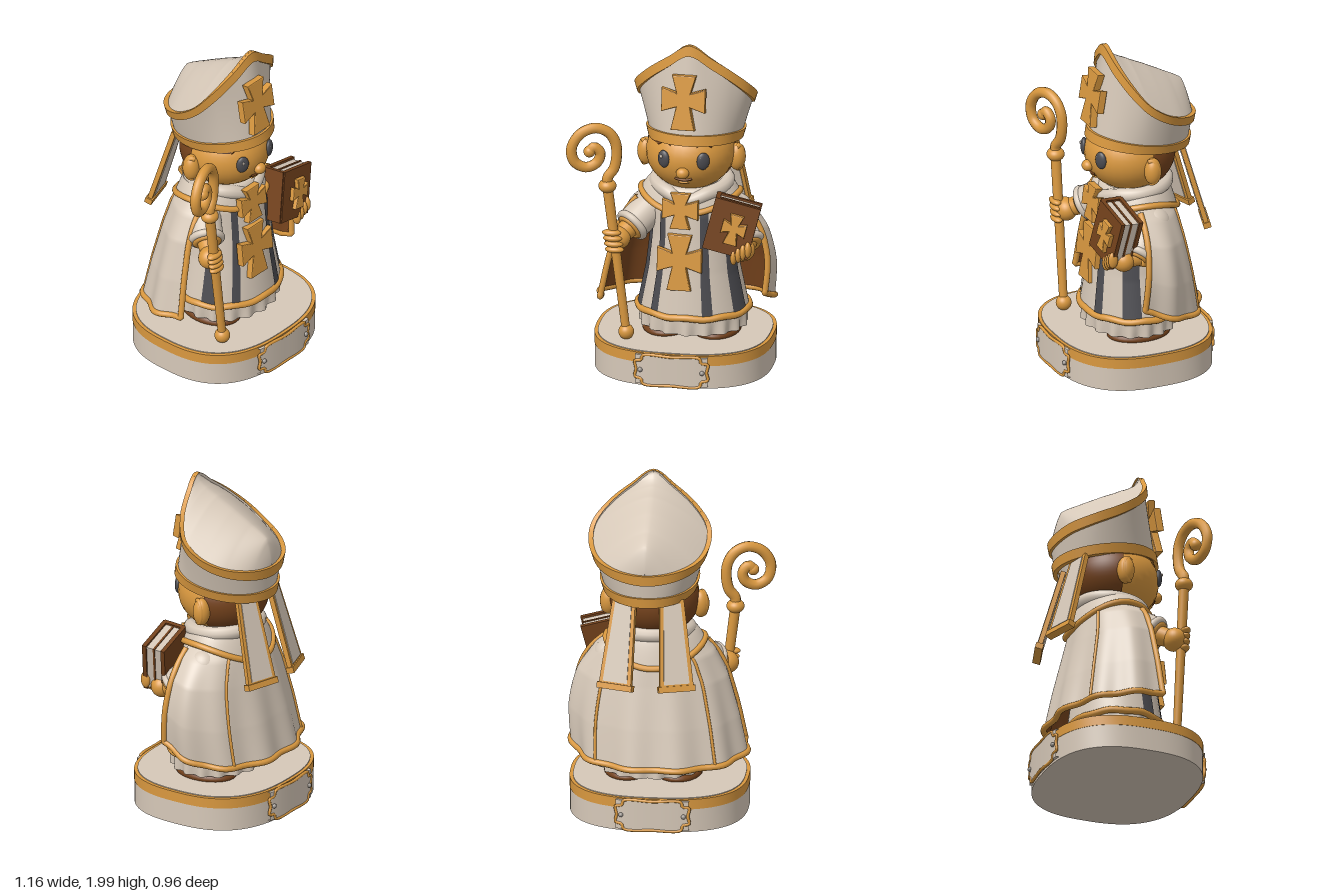
import * as THREE from 'three';
import { toCreasedNormals } from 'three/addons/utils/BufferGeometryUtils.js';
import { ParametricGeometry } from 'three/addons/geometries/ParametricGeometry.js';

const mat = (name, color) => {
  const m = new THREE.MeshStandardMaterial({ color, side: THREE.DoubleSide });
  m.name = name;
  return m;
};
const { sin, cos, PI, abs, pow, sign } = Math;
const V = (x, y, z) => new THREE.Vector3(x, y, z);

export function createModel() {
  const cream = mat('cream', 0xd6c8b8), gold = mat('gold', 0xd9983f), brown = mat('brown', 0x74421c),
    dark = mat('charcoal', 0x4b4b50), steel = mat('steel', 0x9c9690);
  const model = new THREE.Group();

  // --- helpers ---
  const add = (name, geo, m, pos = [0, 0, 0], parent = model) => {
    const mesh = new THREE.Mesh(geo, m);
    mesh.name = name;
    mesh.position.set(...pos);
    parent.add(mesh);
    return mesh;
  };
  const ball = (name, m, pos, r, parent) => {
    const b = add(name, new THREE.SphereGeometry(1, 32, 20), m, pos, parent);
    b.scale.set(...(Array.isArray(r) ? r : [r, r, r]));
    return b;
  };
  // surface over u, v ranges from a point function
  const patch = (name, m, fn, u0, u1, v0, v1, nu, nv) => add(name, new ParametricGeometry((u, v, t) =>
    t.copy(fn(u0 + (u1 - u0) * u, v0 + (v1 - v0) * v)), nu, nv), m);
  // raised band that wraps over its upper and lower edge
  const slab = (name, m, fn, u0, u1, h0, h1, thick, parent = model) => {
    const rows = [[h0, -0.012], [h0, thick], [h1, thick], [h1, -0.012]];
    const geo = new ParametricGeometry((u, v, t) => {
      const [h, off] = rows[Math.round(v * 3)];
      t.copy(fn(u0 + (u1 - u0) * u, h, off));
    }, 72, 3);
    return add(name, toCreasedNormals(geo, 0.7), m, [0, 0, 0], parent);
  };
  const tube = (name, m, pts, r, closed = false, parent = model) => add(name,
    new THREE.TubeGeometry(new THREE.CatmullRomCurve3(pts, closed), pts.length * 6, r, 10, closed), m, [0, 0, 0], parent);
  const along = (fn, a, b, n) => Array.from({ length: n + 1 }, (_, i) => fn(a + (b - a) * i / n));
  const limb = (name, m, a, b, ra, rb) => {
    const mesh = add(name, new THREE.CylinderGeometry(rb, ra, a.distanceTo(b), 28), m);
    mesh.position.copy(a).lerp(b, 0.5);
    mesh.quaternion.setFromUnitVectors(V(0, 1, 0), b.clone().sub(a).normalize());
    return mesh;
  };
  // smooth profile of [t, rx, rz] rows, sampled by t
  const sampler = rows => t => {
    let i = 0;
    while (i < rows.length - 2 && t > rows[i + 1][0]) i++;
    const k = (t - rows[i][0]) / (rows[i + 1][0] - rows[i][0]);
    return [1, 2].map(j => {
      const p = rows.map(r => r[j]), a = p[i], b = p[i + 1];
      return THREE.MathUtils.clamp(a + (b - a) * k, Math.min(a, b), Math.max(a, b));
    });
  };
  // flared cross
  const cross = (name, w, h, pos, tilt, parent = model) => {
    const n = w * 0.15, e = w * 0.26, c = h * 0.05;
    const s = new THREE.Shape([[-e, h / 2], [e, h / 2], [n, n + c], [w / 2, e + c], [w / 2, c - e], [n, c - n], [e, -h / 2],
      [-e, -h / 2], [-n, c - n], [-w / 2, c - e], [-w / 2, c + e], [-n, c + n]].map(p => new THREE.Vector2(...p)));
    const geo = new THREE.ExtrudeGeometry(s, { depth: 0.03, bevelSize: 0.006, bevelThickness: 0.008, bevelSegments: 2 });
    add(name, geo, gold, pos, parent).rotation.x = tilt;
  };

  // --- base ---
  const BX = 0.058, N = 2.6, RX = 0.512, RZ = 0.457;
  const layer = (name, m, k, y0, y1) => {
    const s = new THREE.Shape(along(a => new THREE.Vector2(k * RX * sign(cos(a)) * pow(abs(cos(a)), 2 / N),
      k * RZ * sign(sin(a)) * pow(abs(sin(a)), 2 / N)), 0, 2 * PI, 96).slice(0, 96));
    const geo = new THREE.ExtrudeGeometry(s, { depth: y1 - y0, bevelEnabled: false }).rotateX(-PI / 2);
    add(name, toCreasedNormals(geo, 0.6), m, [BX, y0, 0]);
  };
  layer('baseBody', cream, 1, 0, 0.14);
  layer('baseBand', gold, 1.004, 0.138, 0.198);
  layer('baseTop', cream, 0.965, 0.19, 0.203);
  for (const turn of [0, PI]) {
    const g = new THREE.Group();
    g.name = 'basePlaque';
    g.position.x = BX;
    g.rotation.y = turn;
    model.add(g);
    const rim = (x, y, off) => V(x, y, RZ * pow(1 - pow(abs(x / RX), N), 1 / N) + off);
    slab('plaque', cream, rim, -0.21, 0.21, 0.015, 0.19, 0.018, g);
    const half = [[-0.165, 0.188], [0, 0.19], [0.165, 0.188], [0.175, 0.16], [0.212, 0.15], [0.205, 0.1], [0.212, 0.055], [0.175, 0.045], [0.165, 0.016],
      [0, 0.014], [-0.165, 0.016], [-0.175, 0.045], [-0.212, 0.055], [-0.205, 0.1], [-0.212, 0.15], [-0.175, 0.16]];
    tube('plaqueFrame', gold, half.map(([x, y]) => rim(x, y, 0.016)), 0.009, true, g);
    for (const x of [-0.18, 0.18]) ball('bolt', steel, rim(x, 0.1, 0.02).toArray(), 0.014, g);
  }

  // --- shoes and robe ---
  for (const x of [-0.05, 0.24]) ball('shoe', brown, [x, 0.215, 0.0], [0.14, 0.055, 0.19]);
  const robeP = sampler([[0.24, 0.315, 0.27], [0.36, 0.318, 0.268], [0.6, 0.268, 0.238], [0.8, 0.245, 0.215], [0.95, 0.245, 0.2], [1.02, 0.22, 0.18], [1.1, 0.14, 0.14]]);
  const robe = (th, y, off = 0) => {
    const [rx, rz] = robeP(y);
    return V(0.105 + (rx + off) * sin(th), y, (rz + off) * cos(th));
  };
  patch('robe', cream, (th, y) => robe(th, y), -PI, PI, 0.34, 1.1, 64, 24);
  patch('pleatedHem', cream, (th, y) => robe(th, y, 0.012 * cos(17 * th) * (0.4 - y) / 0.15 - 0.012), -PI, PI, 0.245, 0.36, 160, 4);
  tube('robeTrim', gold, along(th => robe(th, 0.352 + 0.004 * cos(9 * th), 0.003), -PI, PI, 40).slice(0, 40), 0.02, true);
  for (const [a, b, top] of [[0.3, 0.5, 1.0], [0.95, 1.35, 0.95], [-0.72, -0.55, 1.0], [-1.35, -1.05, 0.95]])
    patch('robeStripe', dark, (th, y) => robe(th, y, 0.006), a, b, 0.368, top, 8, 20);
  cross('robeCross', 0.25, 0.32, [0.065, 0.68, 0.215], -0.1);
  cross('chestCross', 0.2, 0.2, [0.065, 0.985, 0.19], -0.12);

  // --- cape with lining, trim and seams ---
  const capeP = sampler([[0, 0.5, 0.38], [0.33, 0.46, 0.33], [0.65, 0.405, 0.275], [0.85, 0.335, 0.245], [0.95, 0.26, 0.22], [1, 0.15, 0.16]]);
  const cape = (th, v, off = 0) => {
    const [rx, rz] = capeP(v);
    const s = sin(th), c = cos(th), front = (1 + c) / 1.3;
    const y0 = 0.34 + front * front * (s > 0 ? 0.13 : 0.04);
    const fold = 0.013 * cos(11 * th) * (1 - v) + off;
    const bulge = s > 0 ? 0.06 * s * sin(PI * v) : 0;
    return V(0.055 + 0.02 * v + (rx + fold + bulge) * s, y0 + (1.07 - y0) * v, -0.02 + (rz + fold) * c);
  };
  const A = 1.27, B = 2 * PI - 1.27;
  patch('cape', cream, (th, v) => cape(th, v), A, B, 0, 1, 120, 30);
  patch('capeLining', brown, (th, v) => cape(th, v, -0.012), B, A, 0, 0.9, 120, 24);
  tube('capeTrim', gold, [...along(v => cape(A, v), 0.9, 0.05, 8), ...along(th => cape(th, 0.012), A, B, 48),
    ...along(v => cape(B, v), 0.05, 0.9, 8)], 0.018);
  for (const s of [-0.75, 0.75]) tube('capeSeam', gold, along(v => cape(PI + s, v, 0.002), 0.01, 0.9, 12), 0.009);

  // --- shoulder mantle and collar ---
  const mantleEdge = th => V(0.08 + 0.285 * sin(th), 1.04 - 0.09 * cos(th) ** 2 + 0.02 * cos(th), -0.04 + 0.245 * cos(th));
  const neck = th => V(0.09 + 0.17 * sin(th), 1.125 - 0.02 * cos(th), -0.03 + 0.17 * cos(th));
  patch('mantle', cream, (th, v) => {
    const p = mantleEdge(th).lerp(neck(th), v);
    p.y += 0.035 * sin(PI * v);
    return p;
  }, -PI, PI, 0, 1, 64, 10);
  tube('mantleTrim', gold, along(mantleEdge, -PI, PI, 32).slice(0, 32), 0.018, true);
  tube('collar', cream, along(th => neck(th).add(V(0.035 * sin(th), -0.03 - 0.04 * Math.exp(-th * th * 5), 0.02 * cos(th))), -PI, PI, 32).slice(0, 32), 0.042, true);

  // --- arms and hands ---
  const arm = (name, shoulder, wrist, hand) => {
    ball(name + 'Shoulder', cream, shoulder.toArray(), 0.1);
    limb(name + 'Sleeve', cream, shoulder, wrist, 0.1, 0.098);
    const dir = wrist.clone().sub(shoulder).normalize();
    const cuff = (r, t, m, k) => add(name + 'Cuff', new THREE.TorusGeometry(r, t, 12, 32), m,
      wrist.clone().addScaledVector(dir, k).toArray()).quaternion.setFromUnitVectors(V(0, 0, 1), dir);
    cuff(0.085, 0.022, cream, 0);
    cuff(0.065, 0.02, gold, 0.015);
    limb(name + 'Wrist', gold, wrist, hand, 0.06, 0.05);
    ball(name + 'Hand', gold, hand.toArray(), [0.075, 0.068, 0.065]);
  };
  arm('rightArm', V(-0.11, 0.96, -0.02), V(-0.23, 0.85, 0.12), V(-0.3, 0.8, 0.21));
  arm('leftArm', V(0.34, 0.92, -0.05), V(0.43, 0.78, 0.09), V(0.42, 0.765, 0.18));
  for (let i = 0; i < 4; i++) {
    ball('rightFinger', gold, [-0.325 + i * 0.006, 0.85 - i * 0.034, 0.265], [0.055, 0.02, 0.03]);
    ball('leftFinger', gold, [0.385 + i * 0.028, 0.75 + i * 0.016, 0.265], [0.02, 0.05, 0.03]);
  }

  // --- crosier ---
  const staff = y => V(-0.24 - 0.11 * (y - 0.23) / 0.89, y, 0.25);
  limb('staff', gold, staff(0.23), staff(1.13), 0.024, 0.03);
  ball('staffFoot', gold, staff(0.245).toArray(), 0.045);
  ball('staffKnob', gold, staff(1.13).toArray(), [0.052, 0.04, 0.052]);
  const curl = [[-0.35, 1.13], [-0.35, 1.18], [-0.315, 1.235], [-0.3, 1.32], [-0.31, 1.4], [-0.35, 1.46], [-0.42, 1.487], [-0.5, 1.455],
    [-0.548, 1.37], [-0.53, 1.285], [-0.465, 1.25], [-0.405, 1.28], [-0.392, 1.335], [-0.425, 1.37], [-0.45, 1.345]];
  tube('staffCurl', gold, curl.map(([x, y]) => V(x, y, 0.25 - 0.33 * (x + 0.35))), 0.031);
  ball('curlTip', gold, [-0.45, 1.345, 0.283], 0.034);

  // --- book ---
  const book = new THREE.Group();
  book.name = 'book';
  book.position.set(0.37, 0.915, 0.2);
  book.rotation.set(-0.1, 0.1, -0.24);
  model.add(book);
  for (const z of [-0.06, 0.06]) add('bookCover', new THREE.BoxGeometry(0.26, 0.31, 0.025), brown, [0, 0, z], book);
  add('bookSpine', new THREE.BoxGeometry(0.025, 0.31, 0.13), brown, [-0.125, 0, 0], book);
  add('bookPages', new THREE.BoxGeometry(0.235, 0.285, 0.1), cream, [0.002, 0, 0], book);
  add('bookDivider', new THREE.BoxGeometry(0.245, 0.295, 0.012), brown, [0.002, 0, 0], book);
  cross('bookCross', 0.13, 0.17, [0.01, 0, 0.06], 0, book);

  // --- head ---
  const H = [0.085, 1.285, -0.01], R = [0.255, 0.22, 0.258];
  ball('head', gold, H, R);
  const face = (dx, y, off = 0) => V(H[0] + dx, y, H[2] + off + R[2] * Math.sqrt(1 - (dx / R[0]) ** 2 - ((y - H[1]) / R[1]) ** 2));
  const hair = (name, p0, pl, t0, tl) => add(name, new THREE.SphereGeometry(1, 48, 24, p0, pl, t0, tl), brown, H).scale.set(0.264, 0.228, 0.268);
  hair('hairBack', PI + 0.15, PI - 0.3, 0, 2.5);
  hair('hairCap', PI / 2 + 0.75, 2 * PI - 1.5, 0, 1.13);
  ball('nose', gold, [0.085, 1.235, 0.25], [0.038, 0.033, 0.033]);
  for (const s of [-1, 1]) {
    const e = face(s * 0.115, 1.305);
    ball('eye', dark, e.toArray(), [0.038, 0.052, 0.02]).rotation.y = s * 0.45;
    ball('eyeGlint', cream, e.clone().add(V(-0.012, 0.02, 0.017)).toArray(), [0.008, 0.01, 0.005]);
    tube('eyebrow', brown, [face(s * 0.07, 1.39), face(s * 0.11, 1.403), face(s * 0.155, 1.38)], 0.011);
    ball('ear', gold, [H[0] + s * 0.265, 1.25, -0.04], [0.05, 0.082, 0.05]);
    tube('earRim', gold, along(a => V(H[0] + s * (0.275 + 0.022 * sin(a)), 1.25 + 0.068 * cos(a), -0.025 - 0.035 * sin(a)), -0.4, 3.4, 10), 0.014);
  }
  tube('mouth', brown, along(x => face(x, 1.182 + 4.5 * x * x, 0.002), -0.05, 0.05, 6), 0.007);
  tube('lowerLip', gold, along(x => face(x, 1.165 + 5 * x * x, 0.002), -0.028, 0.028, 4), 0.009);

  // --- mitre ---
  const MX = 0.11;
  const half = [[0, 1.985, 0.15], [0.12, 1.905, 0.13], [0.24, 1.81, 0.09], [0.325, 1.71, 0.02], [0.335, 1.63, -0.09], [0.285, 1.575, -0.22],
    [0.17, 1.545, -0.325], [0, 1.53, -0.362]];
  const loop = new THREE.CatmullRomCurve3([...half, ...half.slice(1, 7).reverse().map(([x, y, z]) => [-x, y, z])].map(p => V(...p)), true);
  const mitre = (th, t, off = 0) => {
    const top = loop.getPoint(((th / (2 * PI)) % 1 + 1) % 1);
    const low = V(0.258 * sin(th), 1.365 + 0.038 * cos(th), -0.05 + 0.292 * cos(th));
    const len = low.distanceTo(top);
    // t is a height: from the lower rim when positive, from the crest when negative
    const p = low.lerp(top, t < 0 || Object.is(t, -0) ? 1 + t / len : t / len);
    return p.add(V(MX + off * sin(th), 0, off * cos(th)));
  };
  patch('mitreWall', cream, (th, v) => {
    const low = mitre(th, 0), top = mitre(th, -0.0001);
    return low.lerp(top, v);
  }, 0, 2 * PI, 0, 1, 96, 12);
  slab('mitreLowerBand', gold, (th, h, off) => mitre(th, h, off), 0, 2 * PI, 0, 0.06, 0.014);
  slab('mitreCrestBand', gold, (th, h, off) => mitre(th, h, off), 0, 2 * PI, -0.062, -0.0001, 0.016);
  const ridge = [1.975, 1.94, 1.91, 1.875, 1.82, 1.75, 1.69, 1.52];
  patch('mitreCrown', cream, (u, v) => {
    const e = loop.getPoint(v / 2), i = Math.min(6, Math.floor(v * 7)), k = v * 7 - i;
    const r = ridge[i] + (ridge[i + 1] - ridge[i]) * k;
    const low = e.y - 0.012;
    return V(MX + Math.max(0, e.x - 0.01) * u, low + (Math.max(r, low) - low) * (1 - pow(abs(u), 1.5)), e.z);
  }, -1, 1, 0, 1, 32, 42);
  cross('mitreCross', 0.245, 0.31, [0.087, 1.655, 0.205], -0.16);

  // lappets hanging behind
  for (const s of [-1, 1]) {
    const g = new THREE.Group();
    g.name = 'lappet';
    g.position.set(0.1 + s * 0.155, 1.1, -0.335);
    g.rotation.set(0.28, -s * 0.3, 0, 'YXZ');
    model.add(g);
    const board = (w0, w1, h, d) => new THREE.ExtrudeGeometry(new THREE.Shape([[-w0, h], [-w1, -h], [w1, -h], [w0, h]].map(p =>
      new THREE.Vector2(...p))), { depth: d, bevelEnabled: false }).translate(0, 0, -d / 2);
    add('lappetBorder', board(0.07, 0.1, 0.26, 0.028), gold, [0, 0, 0], g);
    add('lappetPanel', board(0.05, 0.075, 0.232, 0.036), cream, [0, 0.008, 0], g);
    add('lappetHem', new THREE.BoxGeometry(0.215, 0.035, 0.045), gold, [0, -0.25, 0], g);
  }
  return model;
}
